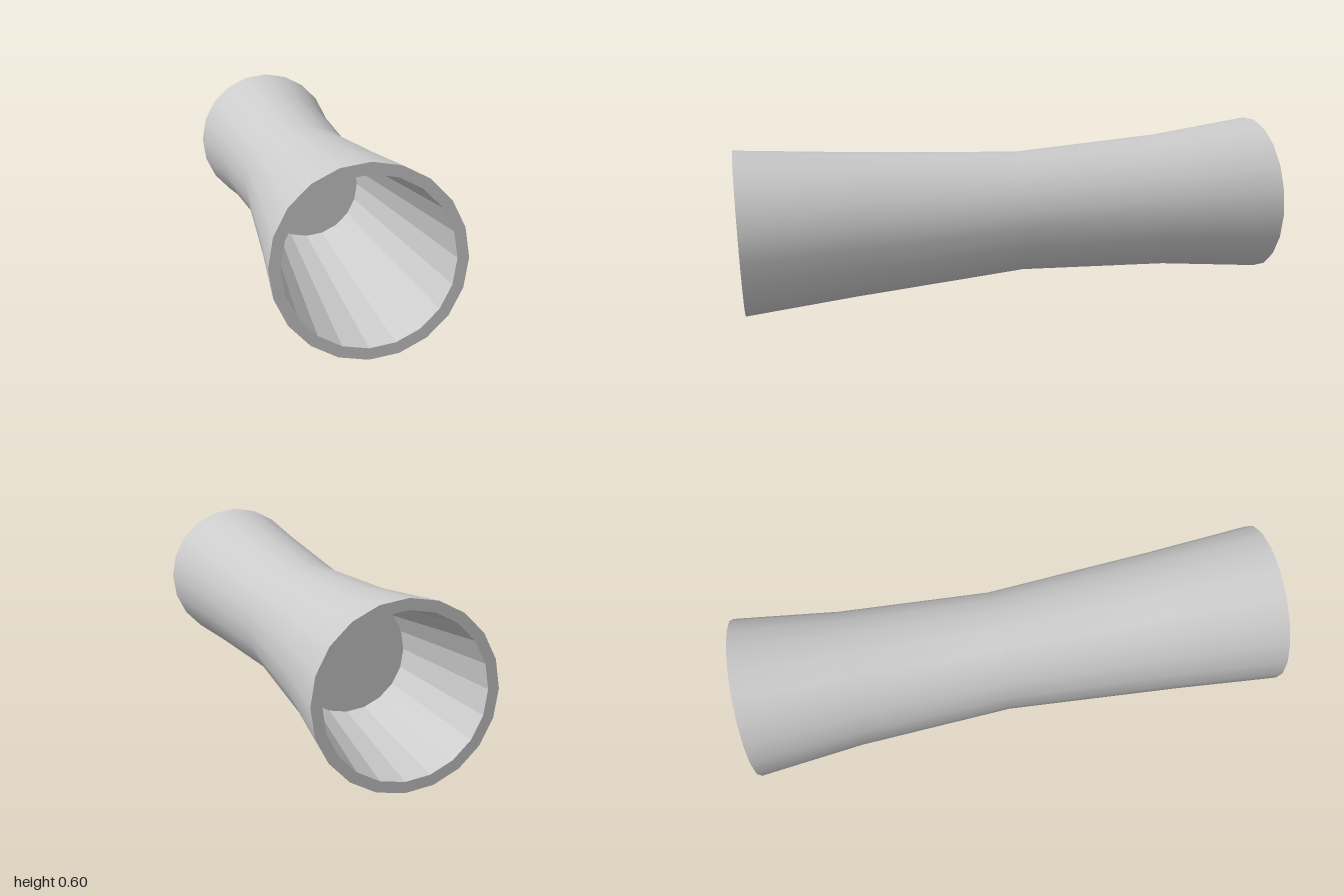
import * as THREE from 'three';

const SIDES = 20;

// Revolve [radius, z] pairs around the z axis
function revolve(name, profile, flatShading) {
  const points = profile.map(([r, z]) => new THREE.Vector2(r, z));
  const geometry = new THREE.LatheGeometry(points, SIDES);
  geometry.rotateX(Math.PI / 2);
  const material = new THREE.MeshStandardMaterial({ color: 0xcccccc, flatShading });
  const mesh = new THREE.Mesh(geometry, material);
  mesh.name = name;
  return mesh;
}

export function createModel() {
  const group = new THREE.Group();
  group.name = 'waistedTube';

  // Smooth outer skin, narrowest near the middle
  const outer = revolve('outerWall', [[0.3, -1], [0.256, -0.61], [0.226, -0.04], [0.268, 0.6], [0.3, 1]], false);

  // Faceted hollows: rim, tapering wall and closed floor, running inwards
  const frontHollow = revolve('frontHollow', [[0.3, 1], [0.264, 1], [0.197, 0.02], [0, 0.02]], true);
  const backHollow = revolve('backHollow', [[0, -0.5], [0.205, -0.5], [0.264, -1], [0.3, -1]], true);

  group.add(outer, frontHollow, backHollow);
  group.position.y = 0.3;
  return group;
}
